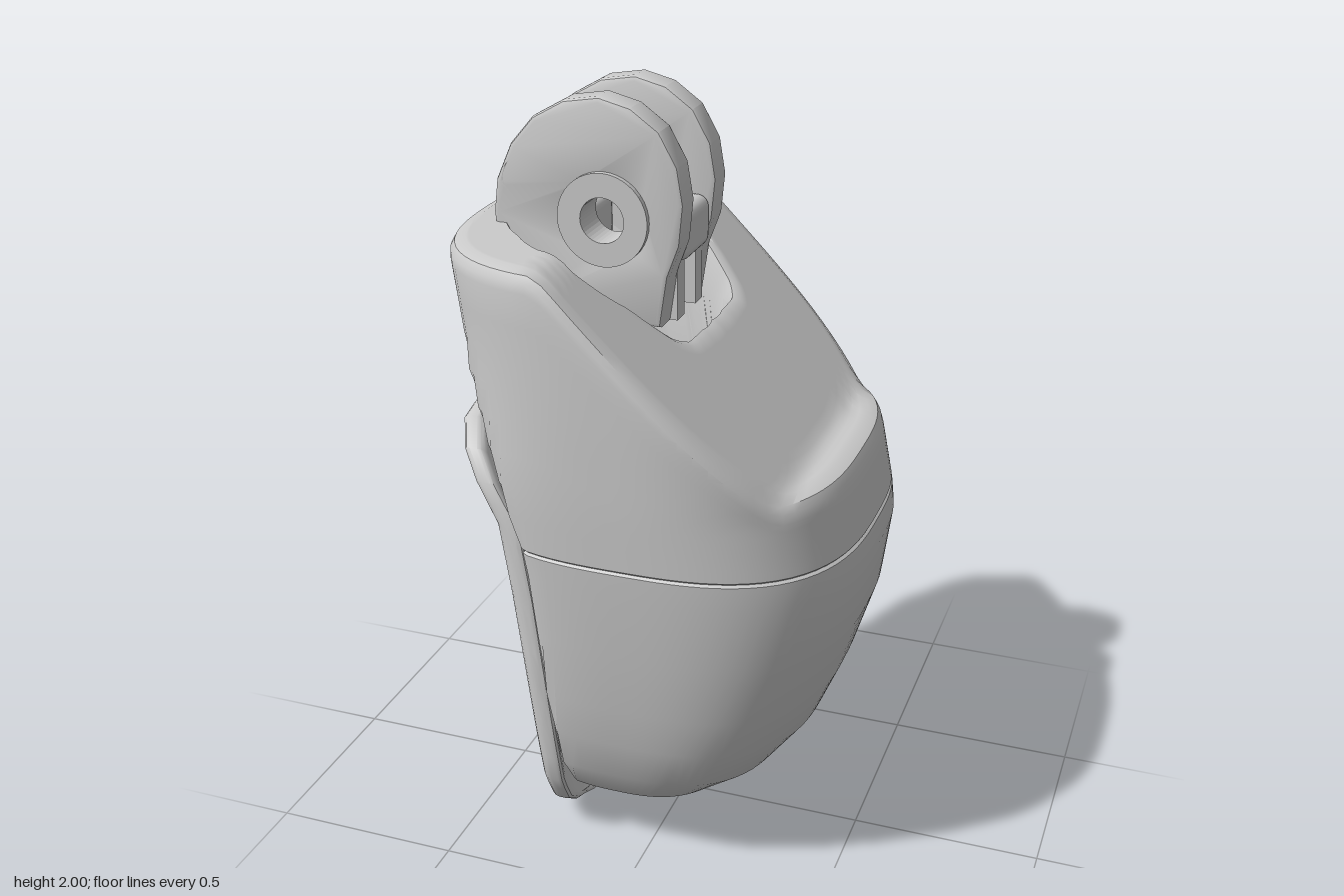
import * as THREE from 'three';
import { toCreasedNormals } from 'three/addons/utils/BufferGeometryUtils.js';
import { RoundedBoxGeometry } from 'three/addons/geometries/RoundedBoxGeometry.js';

const grey = new THREE.MeshStandardMaterial({ color: 0xcccccc });
const SEG = 96;

// piecewise linear lookup in rows of [key, value, value...]
function look(rows, k, col = 1) {
  if (k <= rows[0][0]) return rows[0][col];
  for (let i = 1; i < rows.length; i++) {
    if (k <= rows[i][0]) {
      const a = rows[i - 1], b = rows[i];
      return a[col] + (b[col] - a[col]) * (k - a[0]) / (b[0] - a[0]);
    }
  }
  return rows[rows.length - 1][col];
}

// point on a rounded-square section spanning x0..x1 and -hz..hz
function section(th, x0, x1, hz, n) {
  const c = Math.cos(th), s = Math.sin(th), a = (x1 - x0) / 2;
  const r = Math.pow(Math.pow(Math.abs(c / a), n) + Math.pow(Math.abs(s / hz), n), -1 / n);
  return [(x0 + x1) / 2 + r * c, r * s];
}

// closed rings of points joined into a skin
function loft(rings, crease) {
  const pos = [], idx = [];
  rings.forEach(r => r.forEach(p => pos.push(...p)));
  for (let i = 0; i < rings.length - 1; i++) {
    for (let j = 0; j < SEG; j++) {
      const k = (j + 1) % SEG, a = i * SEG + j, b = i * SEG + k;
      idx.push(a, a + SEG, b, b, a + SEG, b + SEG);
    }
  }
  const g = new THREE.BufferGeometry();
  g.setAttribute('position', new THREE.Float32BufferAttribute(pos, 3));
  g.setIndex(idx);
  return toCreasedNormals(g, crease);
}

function add(parent, name, geometry, x = 0, y = 0, z = 0) {
  const m = new THREE.Mesh(geometry, grey);
  m.name = name;
  m.position.set(x, y, z);
  parent.add(m);
}

// height, back x, front x, half width, depth cut off flat at the back
const BODY = [
  [0.095, -0.16, 0.0, 0.12, 0.02], [0.13, -0.185, 0.08, 0.25, 0.08], [0.19, -0.2, 0.19, 0.34, 0.15],
  [0.28, -0.205, 0.31, 0.395, 0.2], [0.40, -0.21, 0.4, 0.43, 0.25], [0.52, -0.22, 0.45, 0.455, 0.25],
  [0.70, -0.23, 0.505, 0.482, 0.25], [0.88, -0.24, 0.527, 0.505, 0.25], [0.95, -0.25, 0.518, 0.512, 0.25],
  [1.10, -0.3, 0.485, 0.52, 0.22], [1.30, -0.38, 0.475, 0.525, 0.12], [1.45, -0.45, 0.475, 0.527, 0.05],
  [1.62, -0.525, 0.475, 0.527, 0], [1.68, -0.53, 0.475, 0.525, 0]];
// flat top, long slope, front lip
const ROOF = [[-0.2, 1.675], [-0.16, 1.655], [0.36, 1.15], [0.385, 1.138], [0.42, 1.14], [0.5, 1.14]];
const roof = x => look(ROOF, x);
// opening radius by angle in degrees
const HOLE = [[0, 0.22], [20, 0.234], [30, 0.254], [38, 0.277], [48, 0.293], [58, 0.293], [70, 0.3],
  [90, 0.365], [105, 0.355], [125, 0.31], [150, 0.295], [165, 0.305], [180, 0.325]];

function bodyGeometry() {
  const ring = f => Array.from({ length: SEG }, (_, j) => f(j / SEG * Math.PI * 2));
  const wall = (th, y, inset = 0) => {
    const [x0, x1, hz, cut] = [1, 2, 3, 4].map(c => look(BODY, y, c));
    const [x, z] = section(th, x0 - cut + inset, x1 - inset, hz - inset, 2.85);
    return [Math.max(x, x0 + inset), z];
  };
  const flat = (y, inset = 0) => ring(th => {
    const [x, z] = wall(th, y, inset);
    return [x, y, z];
  });
  // height where the wall meets the roof
  const rim = th => {
    let lo = 0.95, hi = 1.72;
    for (let i = 0; i < 30; i++) {
      const m = (lo + hi) / 2;
      if (m < roof(wall(th, m)[0])) lo = m; else hi = m;
    }
    return lo;
  };
  const edge = (th, inset) => {
    const [x, z] = wall(th, rim(th)), s = 1 - inset / Math.hypot(x, z);
    return [x * s, z * s];
  };
  const mouth = th => {
    const deg = Math.acos(Math.cos(th)) * 180 / Math.PI, r = look(HOLE, deg);
    return [-0.15 + r * Math.cos(th), r * Math.sin(th)];
  };
  const rings = [ring(() => [-0.08, 0.09, 0])];
  // lower shell, with a fine seam at the top
  [0.095, 0.13, 0.19, 0.28, 0.4, 0.52, 0.7, 0.88, 0.944].forEach(y => rings.push(flat(y)));
  rings.push(flat(0.95, 0.006), flat(0.956));
  // upper shell up to the rim
  for (let i = 1; i <= 8; i++) {
    rings.push(ring(th => {
      const y = 0.956 + (rim(th) - 0.05 - 0.956) * i / 8, [x, z] = wall(th, y);
      return [x, y, z];
    }));
  }
  // rounded rim
  [[0.003, 0.028], [0.014, 0.01], [0.042, 0]].forEach(([inset, drop]) => rings.push(ring(th => {
    const [x, z] = edge(th, inset);
    return [x, (inset < 0.04 ? rim(th) : roof(x)) - drop, z];
  })));
  // roof sheet in to the opening
  for (let i = 1; i <= 18; i++) {
    rings.push(ring(th => {
      const [ax, az] = edge(th, 0.042), [bx, bz] = mouth(th), t = i / 18;
      const x = ax + (bx - ax) * t;
      return [x, roof(x) - (i === 18 ? 0.012 : 0), az + (bz - az) * t];
    }));
  }
  // inner cavity
  [[1.4, -0.37, 0.07, 0.24], [0.95, -0.2, 0.06, 0.24], [0.25, -0.17, 0.06, 0.22]].forEach(([y, x0, x1, hz]) =>
    rings.push(ring(th => {
      const [x, z] = section(th, x0, x1, hz, 4);
      return [x, y, z];
    })));
  rings.push(ring(() => [-0.06, 0.25, 0]));
  return loft(rings, 0.6);
}

function hole(shape, x, y, r) {
  shape.holes.push(new THREE.Path().absarc(x, y, r, 0, Math.PI * 2, true));
}

// halves every edge longer than a limit, so that a flat sheet can be bent
function subdivide(geometry, limit) {
  const p = geometry.attributes.position, out = [];
  const split = (a, b, c) => {
    const ab = a.distanceTo(b), bc = b.distanceTo(c), ca = c.distanceTo(a), max = Math.max(ab, bc, ca);
    if (max < limit) {
      out.push(...a, ...b, ...c);
    } else if (ab === max) {
      const m = a.clone().lerp(b, 0.5);
      split(a, m, c);
      split(m, b, c);
    } else if (bc === max) {
      split(b, c, a);
    } else {
      split(c, a, b);
    }
  };
  const v = i => new THREE.Vector3().fromBufferAttribute(p, i);
  for (let i = 0; i < p.count; i += 3) split(v(i), v(i + 1), v(i + 2));
  return new THREE.BufferGeometry().setAttribute('position', new THREE.Float32BufferAttribute(out, 3));
}

// backing plate: a thin sheet turned to the back, leaned, and curled towards the shell
function plateGeometry() {
  const half = [[0.0, 0.0], [0.12, 0.01], [0.22, 0.04], [0.3, 0.1], [0.36, 0.2], [0.38, 0.35], [0.39, 0.55],
    [0.39, 0.75], [0.385, 0.95], [0.37, 1.06], [0.33, 1.13], [0.25, 1.18], [0.12, 1.2], [0, 1.205]];
  const mirror = half.slice(1, -1).reverse().map(([z, y]) => [-z, y]);
  const shape = new THREE.Shape(half.concat(mirror).map(p => new THREE.Vector2(...p)));
  hole(shape, -0.12, 0.84, 0.065);
  hole(shape, -0.12, 0.6, 0.065);
  const g = subdivide(new THREE.ExtrudeGeometry(shape, {
    depth: 0.02, bevelThickness: 0.02, bevelSize: 0.02, bevelOffset: -0.02, bevelSegments: 3, curveSegments: 16 }), 0.1);
  const outer = [[0, -0.27], [0.04, -0.305], [0.2, -0.35], [1.17, -0.525], [1.2, -0.515]];
  const inner = [[0, -0.21], [0.1, -0.19], [0.2, -0.2], [0.75, -0.265], [0.95, -0.295], [1.15, -0.41], [1.2, -0.45]];
  const p = g.attributes.position;
  for (let i = 0; i < p.count; i++) {
    const z = -p.getX(i), y = p.getY(i), out = look(outer, y);
    const curl = Math.max(0, look(inner, y) - out - 0.06) * (z / 0.385) ** 2;
    p.setXYZ(i, out + curl + p.getZ(i) + 0.02, y, z);
  }
  return toCreasedNormals(g, 0.6);
}

export function createModel() {
  const model = new THREE.Group();
  model.name = 'hingedHousing';
  add(model, 'bodyShell', bodyGeometry());
  add(model, 'backPlate', plateGeometry());

  // forked hinge: two cheeks with bosses around an open pin bore
  const hinge = new THREE.Group();
  hinge.name = 'hingeFork';
  hinge.position.z = 0.022;
  model.add(hinge);
  const cheek = new THREE.Shape([[0, 1.45], [0.02, 1.58], [0.05, 1.66], [0.06, 1.76], [0.045, 1.85], [0, 1.93],
    [-0.07, 1.98], [-0.15, 2], [-0.24, 1.985], [-0.32, 1.94], [-0.38, 1.87], [-0.42, 1.78], [-0.43, 1.7],
    [-0.42, 1.58], [-0.37, 1.45]].map(p => new THREE.Vector2(...p)));
  hole(cheek, -0.14, 1.71, 0.09);
  hole(cheek, -0.345, 1.79, 0.042);
  const cheekGeo = toCreasedNormals(new THREE.ExtrudeGeometry(cheek, {
    depth: 0.058, bevelThickness: 0.013, bevelSize: 0.013, bevelOffset: -0.013, bevelSegments: 2, curveSegments: 16 }), 0.5);
  const ringShape = new THREE.Shape().absarc(0, 0, 0.115, 0, Math.PI * 2);
  hole(ringShape, 0, 0, 0.056);
  const bossGeo = new THREE.ExtrudeGeometry(ringShape, { depth: 0.1, bevelEnabled: false, curveSegments: 20 });
  const legGeo = new THREE.BoxGeometry(0.1, 0.18, 0.05);
  for (const s of [1, -1]) {
    add(hinge, 'hingeCheek', cheekGeo, 0, 0, s * 0.118 - 0.029);
    add(hinge, 'pinBoss', bossGeo, -0.14, 1.71, s * 0.125 - 0.05);
    add(hinge, 'webLeg', legGeo, -0.03, 1.54, s * 0.065);
  }
  // webs joining the cheeks on both sides of the bore
  add(hinge, 'rearWeb', new RoundedBoxGeometry(0.21, 0.24, 0.17, 2, 0.025), -0.315, 1.59, 0);
  add(hinge, 'frontWeb', new RoundedBoxGeometry(0.12, 0.13, 0.18, 3, 0.03), -0.015, 1.66, 0);
  return model;
}
